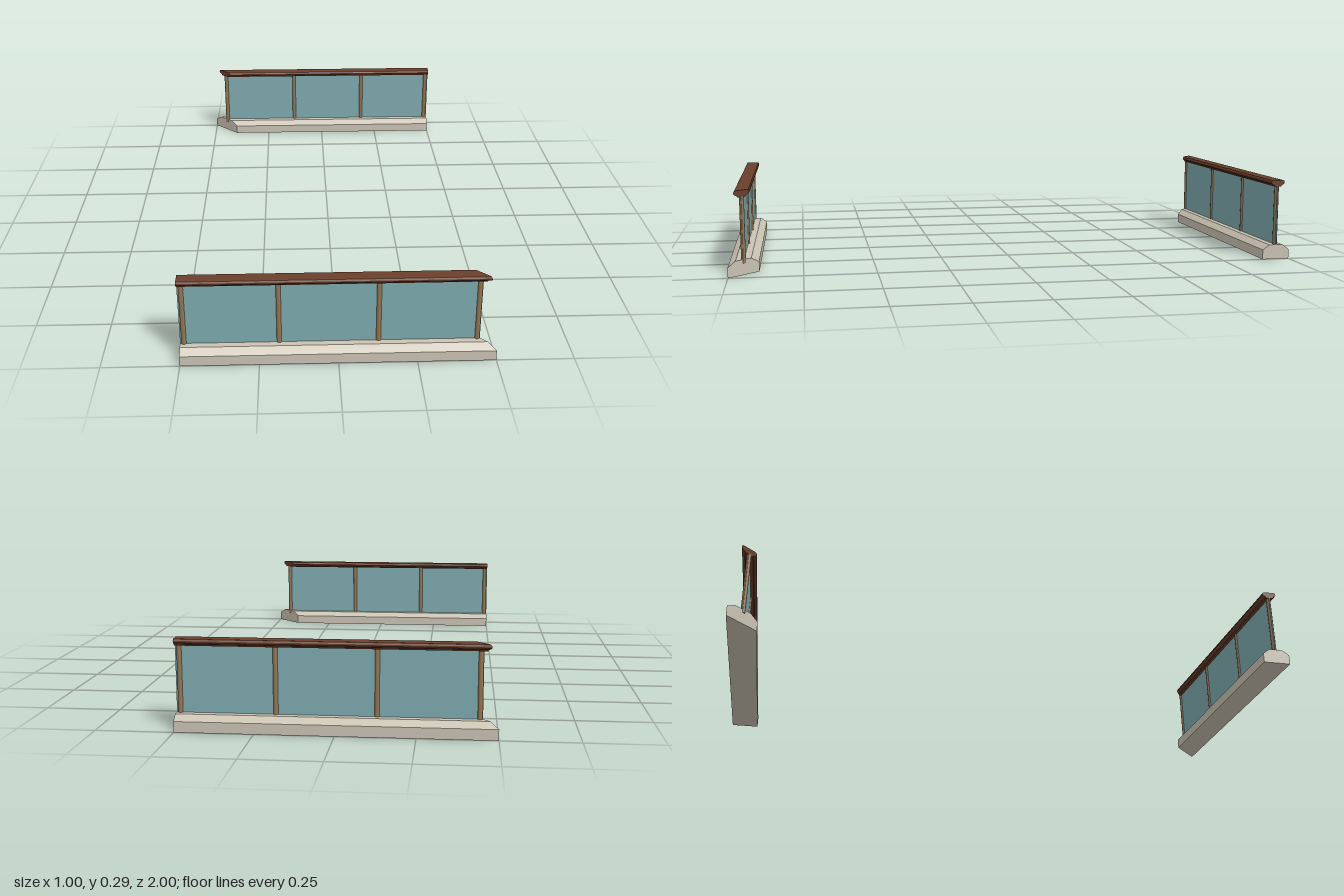
import * as THREE from 'three';

const mat = (name, color) => Object.assign(new THREE.MeshStandardMaterial({ color }), { name });
const CENTRE = 0.95; // distance of each balustrade from the middle

// Sweep half a profile (mirrored) along x; the +x end is mitred at 45 degrees
function mitredBar(name, half, material) {
  const pts = [...half, ...half.map(([u, y]) => [-u, y]).reverse()];
  const shape = new THREE.Shape(pts.map(([u, y]) => new THREE.Vector2(u, y)));
  const geo = new THREE.ExtrudeGeometry(shape, { depth: 1, bevelEnabled: false });
  geo.rotateY(Math.PI / 2).translate(-0.5, 0, CENTRE);
  const p = geo.attributes.position;
  for (let i = 0; i < p.count; i++) if (p.getX(i) > 0) p.setX(i, p.getZ(i) - 0.5);
  geo.computeVertexNormals();
  const mesh = new THREE.Mesh(geo, material);
  mesh.name = name;
  return mesh;
}

export function createModel() {
  const stone = mat('stone', 0xcbc4b4);
  const wood = mat('dark wood', 0x6b402b);
  const bronze = mat('bronze', 0x947552);
  const glass = mat('tinted glass', 0x7eabaf);

  function balustrade(name) {
    const g = new THREE.Group();
    g.name = name;
    // Chamfered kerb
    g.add(mitredBar('kerb', [[0.05, 0], [0.05, 0.035], [0.025, 0.053]], stone));
    // Continuous glass panel
    g.add(mitredBar('glassPanel', [[0.002, 0.05], [0.002, 0.27]], glass));
    // Moulded handrail with a narrower underside
    g.add(mitredBar('handrail', [[0.013, 0.267], [0.015, 0.272], [0.022, 0.275],
      [0.025, 0.279], [0.025, 0.284], [0.022, 0.289], [0.018, 0.29]], wood));
    // Round posts
    for (const x of [-0.488, -0.187, 0.128, 0.443]) {
      const post = new THREE.Mesh(new THREE.CylinderGeometry(0.008, 0.008, 0.23, 16), bronze);
      post.position.set(x, 0.155, CENTRE);
      post.name = 'post';
      g.add(post);
    }
    return g;
  }

  const model = new THREE.Group();
  model.name = 'balustradePair';
  const back = balustrade('backBalustrade');
  back.rotation.y = Math.PI;
  model.add(balustrade('frontBalustrade'), back);
  return model;
}
